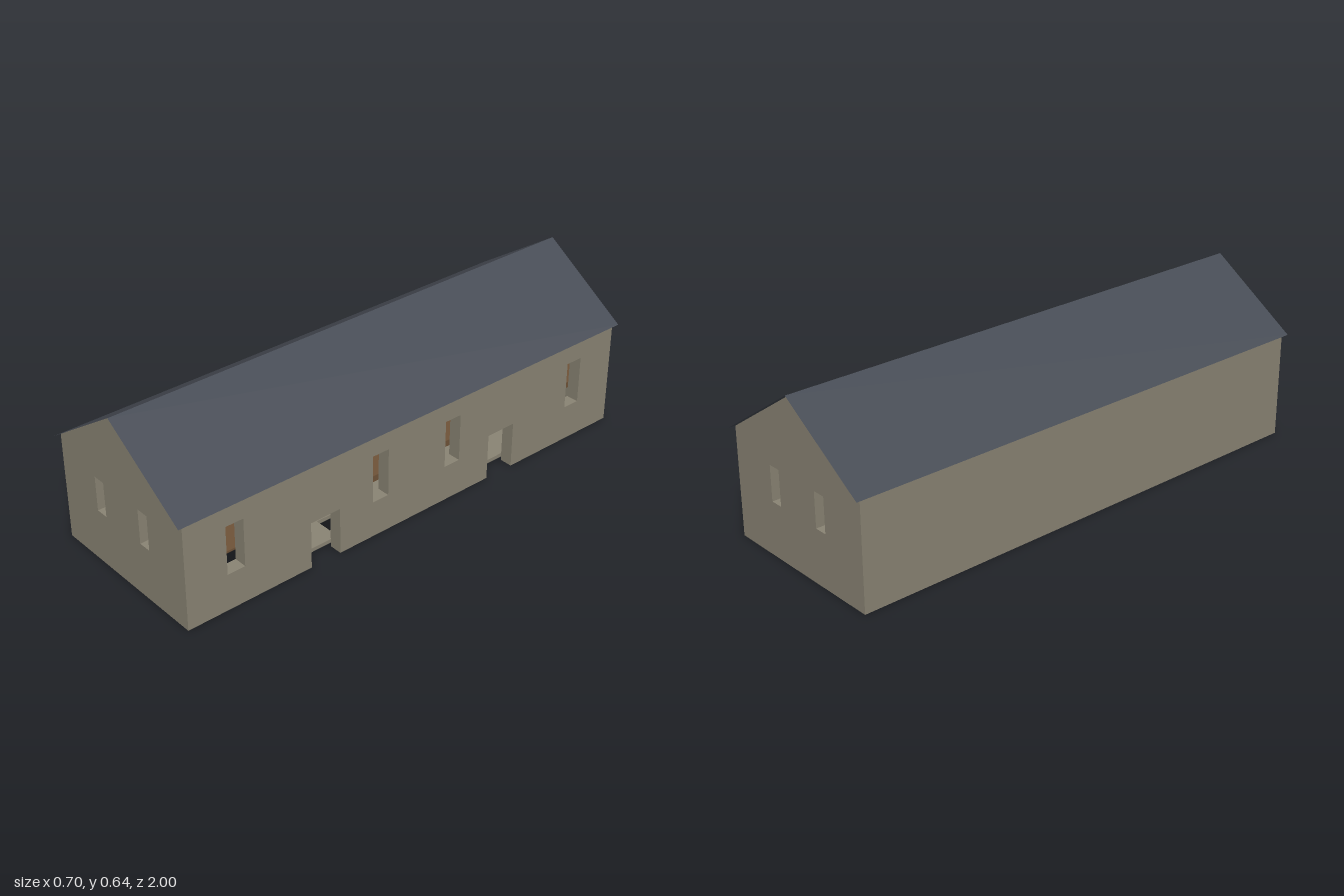
import * as THREE from 'three';

const W = 0.34, L = 0.98, T = 0.05;      // half width, half length, wall thickness
const EAVE = 0.41, RIDGE = 0.635;

const material = (name, color, side = THREE.FrontSide) =>
  Object.assign(new THREE.MeshStandardMaterial({ color, side }), { name });

const shapeOf = pts => new THREE.Shape(pts.map(p => new THREE.Vector2(...p)));
const rectHole = (x0, x1, y0, y1) =>
  new THREE.Path([[x0, y0], [x0, y1], [x1, y1], [x1, y0]].map(p => new THREE.Vector2(...p)));
const extrude = (shape, depth) => new THREE.ExtrudeGeometry(shape, { depth, bevelEnabled: false });

export function createModel() {
  const house = new THREE.Group();
  house.name = 'longHouse';
  const stone = material('stone', 0x8a8474);
  const slate = material('slate', 0x474c55, THREE.DoubleSide);
  const wood = material('wood', 0x6f5338);

  const add = (name, geometry, mat, x = 0, y = 0, z = 0) => {
    const mesh = new THREE.Mesh(geometry, mat);
    mesh.name = name;
    mesh.position.set(x, y, z);
    house.add(mesh);
    return mesh;
  };
  const box = (name, mat, x0, x1, y0, y1, z0, z1) =>
    add(name, new THREE.BoxGeometry(x1 - x0, y1 - y0, z1 - z0), mat,
      (x0 + x1) / 2, (y0 + y1) / 2, (z0 + z1) / 2);

  // Gable walls, each with two windows
  const gable = shapeOf([[-W, 0], [W, 0], [W, EAVE], [0, RIDGE], [-W, EAVE]]);
  for (const s of [-1, 1]) gable.holes.push(rectHole(s * 0.1225 - 0.025, s * 0.1225 + 0.025, 0.205, 0.338));
  const gableGeometry = extrude(gable, T);
  add('frontGable', gableGeometry, stone, 0, 0, L - T);
  add('backGable', gableGeometry, stone, 0, 0, -L);

  // Left long wall with two doorways and four windows (shape x runs along -z)
  const end = L - T;
  const outline = [[-end, 0]];
  for (const [a, b] of [[-0.475, -0.35], [0.345, 0.47]]) outline.push([a, 0], [a, 0.18], [b, 0.18], [b, 0]);
  outline.push([end, 0], [end, EAVE], [-end, EAVE]);
  const side = shapeOf(outline);
  for (const c of [-0.783, -0.17, 0.165, 0.78]) side.holes.push(rectHole(c - 0.035, c + 0.035, 0.14, 0.325));
  add('leftWall', extrude(side, T).rotateY(Math.PI / 2), stone, W - T, 0, 0);

  // Blank right long wall
  box('rightWall', stone, -W, -W + T, 0, EAVE, -end, end);

  // Thin gabled roof with slight overhangs
  const slope = (RIDGE - EAVE) / W, top = RIDGE + 0.002, out = 0.352;
  for (const s of [-1, 1]) {
    const plane = new THREE.PlaneGeometry(out, 2);
    plane.rotateX(-Math.PI / 2).translate(s * out / 2, 0, 0);
    const p = plane.attributes.position;
    for (let i = 0; i < p.count; i++) p.setY(i, top - slope * Math.abs(p.getX(i)));
    plane.computeVertexNormals();
    add(s > 0 ? 'leftRoof' : 'rightRoof', plane, slate);
  }

  // Ground floor, open at the front end and beside the first doorway
  const inner = W - T;
  const floor = shapeOf([[-inner, -0.58], [inner, -0.58], [inner, end], [-inner, end]]);
  floor.holes.push(rectHole(0.18, 0.25, -0.32, -0.07));
  add('groundFloor', extrude(floor, 0.015).rotateX(-Math.PI / 2), stone, 0, 0.015, 0);

  // Wooden loft floor with a low beam along the blank wall
  box('loftFloor', wood, -inner, inner, 0.178, 0.202, -end, 0.62);
  box('frontLoftFloor', wood, -inner, inner, 0.178, 0.186, 0.62, end);
  box('loftBeam', wood, -inner, -inner + 0.03, 0.202, 0.23, -end, 0.62);

  // Low loft enclosure and a post behind the doorway
  box('loftEnclosure', stone, -0.122, 0.122, 0.202, 0.266, 0.45, 0.6);
  box('doorPost', wood, 0.15, 0.16, 0.03, 0.178, 0.435, 0.445);

  return house;
}
